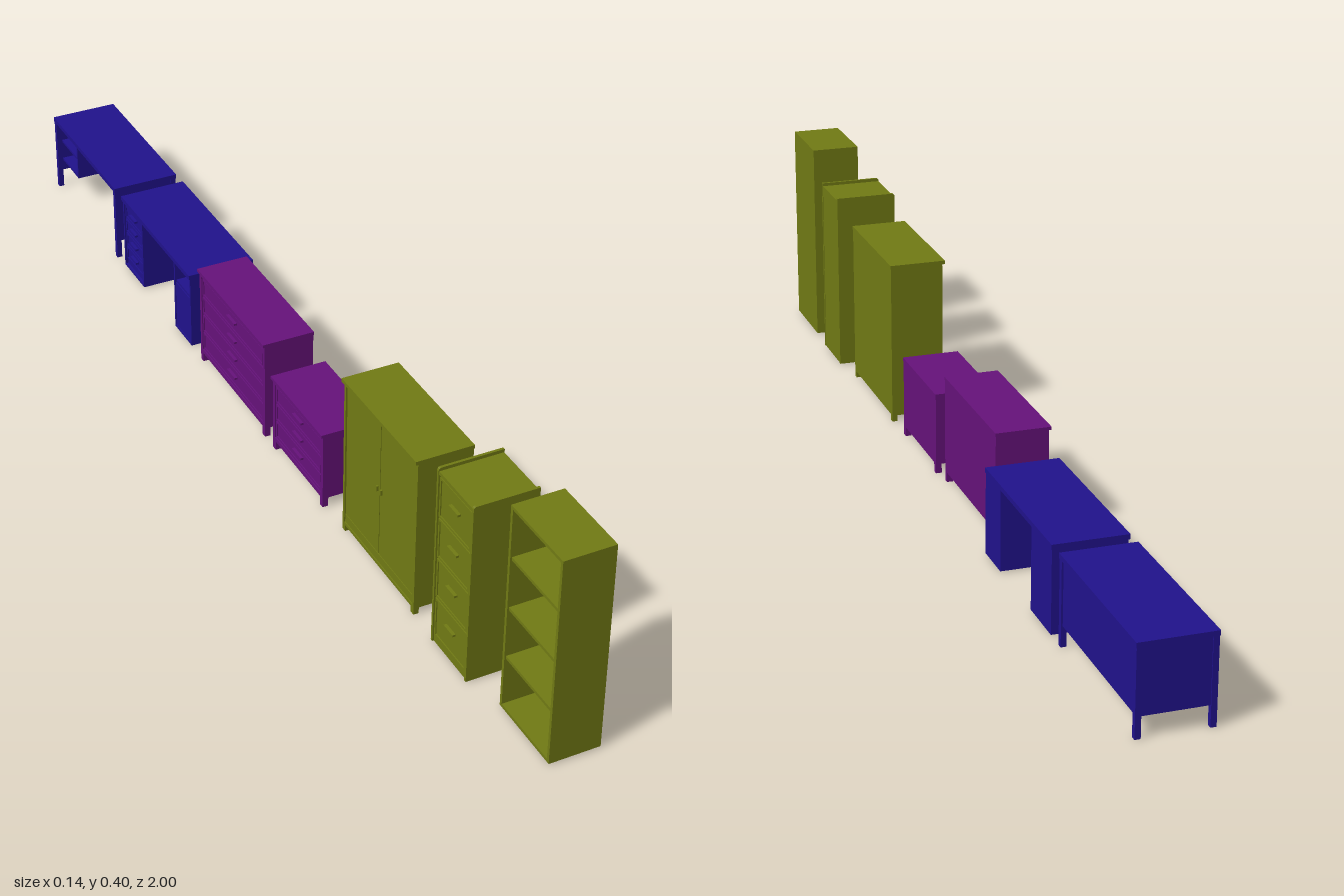
import * as THREE from 'three';

const OLIVE = new THREE.MeshStandardMaterial({ color: 0x717a14 });
const PURPLE = new THREE.MeshStandardMaterial({ color: 0x66127a });
const BLUE = new THREE.MeshStandardMaterial({ color: 0x20128c });

// A piece of furniture: a named group with a helper that adds boxes by their limits
function piece(root, name, material) {
  const group = new THREE.Group();
  group.name = name;
  root.add(group);
  const box = (part, x0, x1, y0, y1, z0, z1) => {
    const mesh = new THREE.Mesh(new THREE.BoxGeometry(x1 - x0, y1 - y0, z1 - z0), material);
    mesh.position.set((x0 + x1) / 2, (y0 + y1) / 2, (z0 + z1) / 2);
    mesh.name = part;
    group.add(mesh);
    return mesh;
  };
  return { group, box };
}

// Open case facing -x: two sides, top, bottom and back
function carcass(box, x0, x1, y0, y1, z0, z1, t) {
  box('side', x0, x1, y0, y1, z0, z0 + t);
  box('side', x0, x1, y0, y1, z1 - t, z1);
  box('top', x0, x1, y1 - t, y1, z0 + t, z1 - t);
  box('bottom', x0, x1, y0, y0 + t, z0 + t, z1 - t);
  box('back', x1 - t, x1, y0 + t, y1 - t, z0 + t, z1 - t);
}

// Stack of drawer fronts, each with a raised rim and a bar handle
function drawers(box, count, x, depth, y0, y1, z0, z1, handle) {
  const h = (y1 - y0) / count, gap = 0.0015, rim = 0.004;
  for (let i = 0; i < count; i++) {
    const a = y0 + i * h + gap, b = y0 + (i + 1) * h - gap, c = z0 + gap, d = z1 - gap;
    box('drawerFront', x + 0.002, x + depth, a, b, c, d);
    box('drawerRim', x, x + 0.002, a, a + rim, c, d);
    box('drawerRim', x, x + 0.002, b - rim, b, c, d);
    box('drawerRim', x, x + 0.002, a + rim, b - rim, c, c + rim);
    box('drawerRim', x, x + 0.002, a + rim, b - rim, d - rim, d);
    const y = (a + b) / 2 + h * 0.1, z = (z0 + z1) / 2;
    box('handle', x - 0.004, x + 0.002, y - 0.002, y + 0.002, z - handle / 2, z + handle / 2);
  }
}

// Four square feet or legs at the corners
function legs(box, x0, x1, y1, z0, z1, w) {
  for (const x of [x0, x1 - w]) for (const z of [z0, z1 - w]) box('leg', x, x + w, 0, y1, z, z + w);
}

function bookcase(root) {
  const { box } = piece(root, 'bookcase', OLIVE);
  carcass(box, -0.041, 0.053, 0.003, 0.402, 0.847, 1, 0.006);
  for (let i = 1; i < 4; i++) {
    const y = 0.006 + i * 0.0985;
    box('shelf', -0.038, 0.048, y - 0.003, y + 0.003, 0.853, 0.994);
  }
}

function filingCabinet(root) {
  const { group, box } = piece(root, 'filingCabinet', OLIVE);
  // Side panels rise above the top and have a rounded front corner
  const s = new THREE.Shape();
  s.moveTo(-0.063, 0.002);
  s.lineTo(0.056, 0.002);
  s.lineTo(0.056, 0.354);
  s.lineTo(-0.057, 0.354);
  s.quadraticCurveTo(-0.063, 0.354, -0.063, 0.348);
  const geometry = new THREE.ExtrudeGeometry(s, { depth: 0.005, bevelEnabled: false });
  for (const z of [0.657, 0.77]) {
    const side = new THREE.Mesh(geometry, OLIVE);
    side.position.z = z;
    side.name = 'sidePanel';
    group.add(side);
  }
  box('top', -0.062, 0.055, 0.341, 0.348, 0.662, 0.77);
  box('bottom', -0.06, 0.055, 0.002, 0.015, 0.662, 0.77);
  box('back', 0.05, 0.055, 0.015, 0.341, 0.662, 0.77);
  drawers(box, 4, -0.0615, 0.01, 0.016, 0.34, 0.663, 0.769, 0.03);
}

function wardrobe(root) {
  const { box } = piece(root, 'wardrobe', OLIVE);
  carcass(box, -0.058, 0.044, 0.012, 0.31, 0.325, 0.587, 0.006);
  box('topBoard', -0.063, 0.045, 0.31, 0.317, 0.324, 0.588);
  box('plinth', -0.056, -0.05, 0.018, 0.034, 0.331, 0.581);
  legs(box, -0.058, 0.044, 0.012, 0.325, 0.587, 0.01);
  for (const [z0, z1, knob] of [[0.333, 0.455, 0.449], [0.457, 0.579, 0.463]]) {
    box('door', -0.056, -0.048, 0.036, 0.302, z0, z1);
    box('doorKnob', -0.06, -0.056, 0.165, 0.175, knob - 0.002, knob + 0.002);
  }
}

function chest(root, name, x1, height, z0, z1, rows) {
  const { box } = piece(root, name, PURPLE);
  carcass(box, -0.063, x1 - 0.001, 0.018, height - 0.006, z0 + 0.001, z1 - 0.001, 0.008);
  box('topBoard', -0.067, x1, height - 0.006, height, z0, z1);
  legs(box, -0.063, x1 - 0.001, 0.018, z0 + 0.001, z1 - 0.001, 0.011);
  drawers(box, rows, -0.062, 0.01, 0.027, height - 0.015, z0 + 0.01, z1 - 0.01, 0.035);
}

function pedestalDesk(root) {
  const { box } = piece(root, 'pedestalDesk', BLUE);
  box('deskTop', -0.066, 0.068, 0.152, 0.161, -0.639, -0.308);
  // Drawer pedestal
  carcass(box, -0.063, 0.067, 0.002, 0.152, -0.638, -0.541, 0.005);
  box('plinth', -0.058, -0.052, 0.007, 0.018, -0.633, -0.546);
  drawers(box, 4, -0.061, 0.01, 0.019, 0.146, -0.632, -0.547, 0.03);
  // Open pedestal with a shelf
  carcass(box, -0.063, 0.067, 0.002, 0.152, -0.387, -0.309, 0.005);
  box('door', -0.062, -0.055, 0.008, 0.105, -0.381, -0.315);
  box('shelf', -0.06, 0.062, 0.105, 0.11, -0.382, -0.314);
}

function legDesk(root) {
  const { box } = piece(root, 'legDesk', BLUE);
  box('deskTop', -0.067, 0.067, 0.152, 0.161, -1, -0.67);
  legs(box, -0.066, 0.066, 0.152, -0.999, -0.671, 0.01);
  box('backPanel', 0.058, 0.063, 0.037, 0.152, -0.989, -0.681);
  for (const z of [-0.997, -0.678]) box('sidePanel', -0.056, 0.056, 0.037, 0.152, z, z + 0.005);
  // Hanging shelf unit beside one end
  box('shelfSide', -0.054, 0.058, 0.06, 0.152, -0.91, -0.905);
  for (const y of [0.06, 0.103]) box('shelf', -0.054, 0.058, y, y + 0.005, -0.992, -0.91);
}

export function createModel() {
  const root = new THREE.Group();
  root.name = 'furnitureRow';
  bookcase(root);
  filingCabinet(root);
  wardrobe(root);
  chest(root, 'smallChest', 0.042, 0.156, 0.054, 0.258, 3);
  chest(root, 'largeChest', 0.035, 0.202, -0.265, 0.022, 4);
  pedestalDesk(root);
  legDesk(root);
  return root;
}
